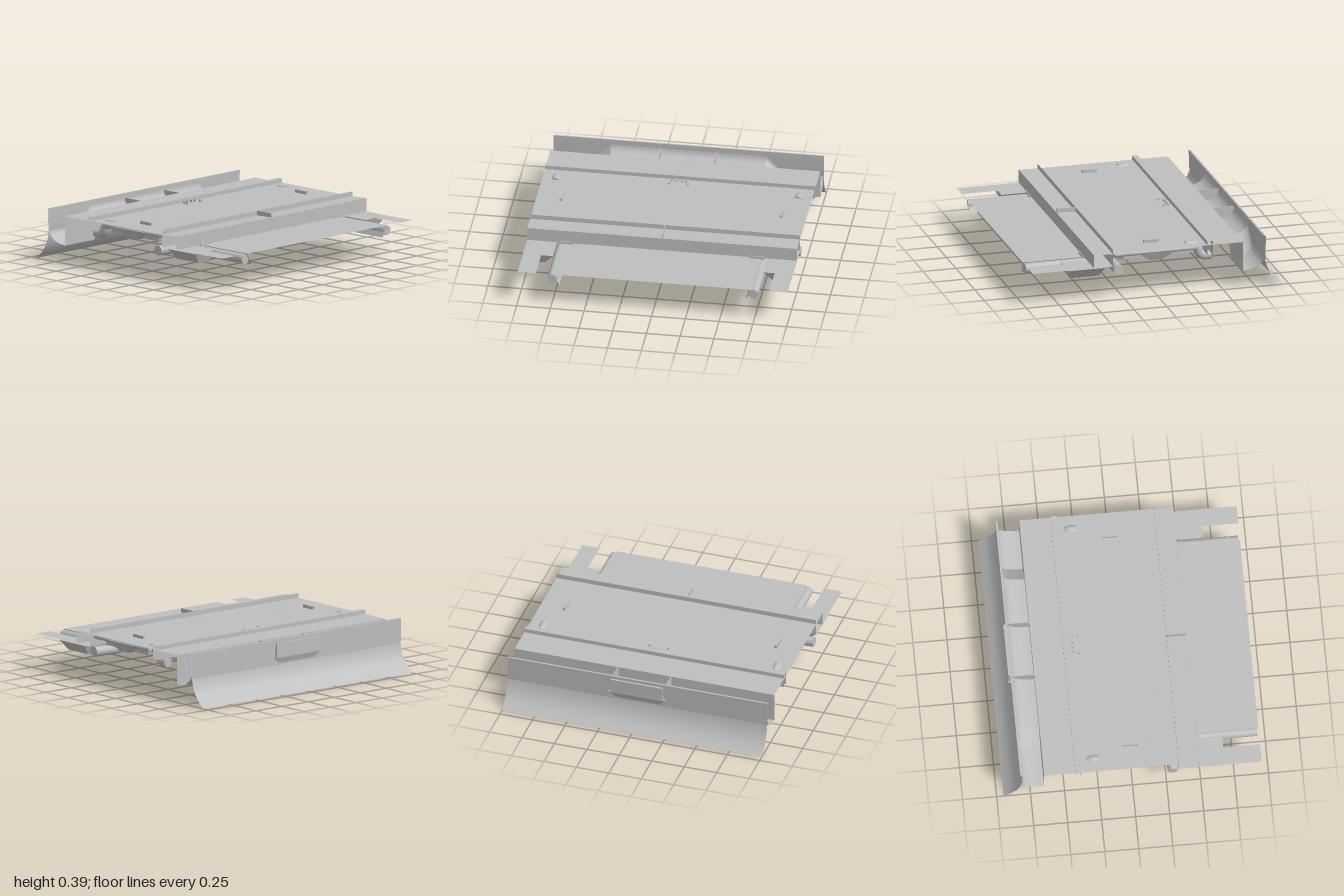
import * as THREE from 'three';
import { toCreasedNormals } from 'three/addons/utils/BufferGeometryUtils.js';

export function createModel() {
  const root = new THREE.Group();
  const grey = new THREE.MeshStandardMaterial({ color: 0xbebebe, side: THREE.DoubleSide });
  grey.name = 'panel grey';

  const add = (name, geo, x = 0, y = 0, z = 0) => {
    const m = new THREE.Mesh(geo, grey);
    m.name = name;
    m.position.set(x, y, z);
    root.add(m);
    return m;
  };

  // Thin sheet: a [z, y] profile swept along x; heights may vary with x
  const sheet = (name, pts, x0 = -1, x1 = 1) => {
    const g = new THREE.PlaneGeometry(1, 1, 1, pts.length - 1);
    const p = g.attributes.position;
    for (let i = 0; i < p.count; i++) {
      const [z, y] = pts[i >> 1];
      p.setXYZ(i, i % 2 ? x1 : x0, y, z);
    }
    return add(name, toCreasedNormals(g, 0.6));
  };

  // Box whose lower face is drawn in, for trays and tanks
  const tray = (name, x, z, w, d, y0, y1, inX, inZ) => {
    const g = new THREE.BoxGeometry(w, y1 - y0, d).toNonIndexed();
    const p = g.attributes.position;
    for (let i = 0; i < p.count; i++) if (p.getY(i) < 0) {
      p.setX(i, p.getX(i) * (1 - (2 * inX) / w));
      p.setZ(i, p.getZ(i) * (1 - (2 * inZ) / d));
    }
    g.computeVertexNormals();
    return add(name, g, x, (y0 + y1) / 2, z);
  };

  const tube = (name, pts, r) => {
    const path = new THREE.CurvePath();
    const v = pts.map((q) => new THREE.Vector3(...q));
    // straight runs with rounded elbows
    let from = v[0];
    for (let i = 1; i < v.length - 1; i++) {
      const a = v[i].clone().add(v[i - 1].clone().sub(v[i]).setLength(0.05));
      const b = v[i].clone().add(v[i + 1].clone().sub(v[i]).setLength(0.05));
      path.add(new THREE.LineCurve3(from, a));
      path.add(new THREE.QuadraticBezierCurve3(a, v[i], b));
      from = b;
    }
    path.add(new THREE.LineCurve3(from, v[v.length - 1]));
    add(name, new THREE.TubeGeometry(path, 40, r, 14));
    for (const [end, next] of [[v[0], v[1]], [v[v.length - 1], v[v.length - 2]]]) {
      const cap = add(name + 'Cap', new THREE.CircleGeometry(r, 14), end.x, end.y, end.z);
      cap.lookAt(end.clone().multiplyScalar(2).sub(next));
    }
  };

  // Main deck with its front step and the tall wall behind
  sheet('frontStep', [[0.34, 0.26], [0.485, 0.26], [0.485, 0.36]]);
  sheet('deck', [[0.485, 0.36], [0.34, 0.355], [-0.65, 0.355]]);
  sheet('frontRail', [[0.34, 0.26], [0.34, 0.39]]);
  sheet('rearRailFront', [[-0.38, 0.28], [-0.38, 0.385]]);
  sheet('rearRailBack', [[-0.38, 0.385], [-0.42, 0.385], [-0.42, 0.28]]);
  add('stepDivider', new THREE.BoxGeometry(0.006, 0.13, 0.145), 0, 0.325, 0.4125);

  // Rear trough: raised middle floor, sloping down to low ends
  const curve = [];
  for (let i = 0; i <= 8; i++) {
    const a = (i / 8) * Math.PI / 2;
    curve.push([-0.65 - 0.16 * Math.sin(a), 0.09 * (1 - Math.cos(a))]);
  }
  const floorAt = (y) => curve.map(([z, h]) => [z, y + h]);
  sheet('troughMiddle', floorAt(0.26), -0.575, 0.575);
  sheet('troughWallMiddle', [[-0.65, 0.355], [-0.65, 0.26]], -0.575, 0.575);
  for (const s of [-1, 1]) {
    sheet('troughEnd', floorAt(0.135), s * 0.7, s);
    sheet('troughWallEnd', [[-0.65, 0.355], [-0.65, 0.135]], s * 0.7, s);
    const slope = sheet('troughSlope', floorAt(0.135), s * 0.575, s * 0.7);
    const p = slope.geometry.attributes.position;
    for (let i = 0; i < p.count; i++) if (Math.abs(p.getX(i)) < 0.6) p.setY(i, p.getY(i) + 0.125);
    slope.geometry.computeVertexNormals();
    const wall = sheet('troughWallSlope', [[-0.65, 0.355], [-0.65, 0.135]], s * 0.575, s * 0.7);
    const q = wall.geometry.attributes.position;
    for (let i = 0; i < q.count; i++)
      if (Math.abs(q.getX(i)) < 0.6 && q.getY(i) < 0.2) q.setY(i, 0.26);
    add('troughDivider', new THREE.BoxGeometry(0.006, 0.095, 0.17), s * 0.205, 0.308, -0.735);
  }

  // Rear skirt, flaring out at the bottom
  sheet('rearSkirt', [[-0.81, 0.39], [-0.812, 0.27], [-0.82, 0.2], [-0.835, 0.14],
    [-0.86, 0.09], [-0.9, 0.04], [-0.95, 0]]);
  sheet('skirtRim', [[-0.81, 0.388], [-0.825, 0.388], [-0.822, 0.2]]);

  // Central tanks under the deck
  tray('rearTank', 0, -0.63, 0.44, 0.42, 0.18, 0.26, 0.09, 0.03);
  add('rearTankTop', new THREE.BoxGeometry(0.4, 0.09, 0.23), 0, 0.305, -0.535);
  add('skirtHandle', new THREE.BoxGeometry(0.4, 0.11, 0.02), 0, 0.31, -0.83);
  tray('frontTank', 0, 0.56, 0.44, 0.4, 0.18, 0.258, 0.09, 0.06);

  // Frame under the deck, with a chamfered opening
  const outline = (path, x, z, c) => {
    [[-x + c, -z], [x - c, -z], [x, -z + c], [x, z - c], [x - c, z], [-x + c, z],
      [-x, z - c], [-x, -z + c]].forEach(([a, b], i) => (i ? path.lineTo(a, b) : path.moveTo(a, b)));
    path.closePath();
    return path;
  };
  const frame = outline(new THREE.Shape(), 0.93, 0.32, 0.08);
  frame.holes.push(outline(new THREE.Path(), 0.78, 0.24, 0.12));
  const frameGeo = new THREE.ExtrudeGeometry(frame, { depth: 0.07, bevelEnabled: false });
  add('underFrame', frameGeo.rotateX(Math.PI / 2), 0, 0.35, 0);

  // Front lower plate
  sheet('frontPlate', [[0.485, 0.26], [0.95, 0.26]], -0.735, 0.735);

  for (const s of [-1, 1]) {
    // Front corner wing, channel wall, pocket and pipe
    sheet('frontWing', [[0.485, 0.26], [0.95, 0.26]], s * 0.865, s);
    const wall = sheet('channelWall', [[0.38, 0.26], [0.95, 0.26]], s * 0.69, s * 0.735);
    const p = wall.geometry.attributes.position;
    for (let i = 0; i < p.count; i++) if (Math.abs(p.getX(i)) < 0.7) p.setY(i, 0.175);
    wall.geometry.computeVertexNormals();
    tray('cornerBox', s * 0.89, 0.54, 0.22, 0.28, 0.18, 0.255, 0.06, 0.03);
    tube('frontPipe', [[s * 0.745, 0.22, 0.94], [s * 0.745, 0.22, 0.295], [s, 0.23, 0.295]], 0.037);
    add('pipeBracket', new THREE.BoxGeometry(0.11, 0.1, 0.006), s * 0.705, 0.23, 0.5);

    // Side fittings below the deck edge
    tray('sideBox', s * 0.91, 0, 0.16, 0.3, 0.27, 0.34, 0.03, 0.1);
    tube('sidePipe', [[s * 0.9, 0.335, -0.24], [s * 0.9, 0.335, -0.33], [s * 0.9, 0.25, -0.345],
      [s * 0.9, 0.25, -0.43]], 0.035);
    tube('sideConduit', [[s * 0.96, 0.335, 0.32], [s * 0.96, 0.335, -0.3]], 0.018);

    // Slot fins on the deck and small tabs beneath
    add('deckFin', new THREE.BoxGeometry(0.02, 0.025, 0.11), s * 0.815, 0.365, 0);
    add('underTab', new THREE.BoxGeometry(0.12, 0.1, 0.04), s * 0.42, 0.295, -0.28);

    // Little raised clips on the deck
    for (const [x, z] of [[0.02, -0.35], [0.055, -0.35], [0.07, -0.31]])
      add('deckClip', new THREE.BoxGeometry(0.012, 0.02, 0.02), s * x, 0.362, z);
  }
  return root;
}
